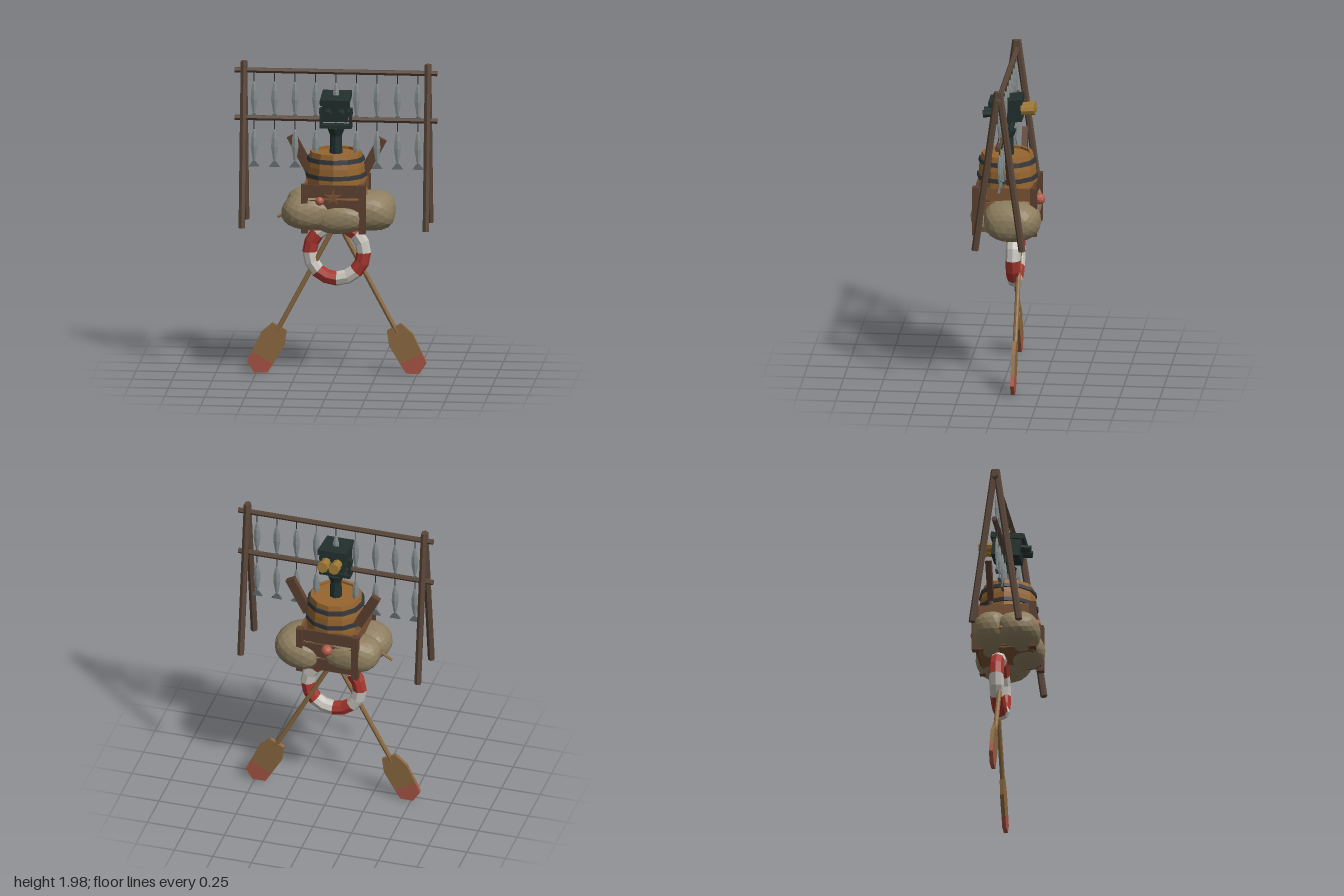
import * as THREE from 'three';

const mats = {};
function mat(color) {
  return (mats[color] ??= new THREE.MeshStandardMaterial({ color, flatShading: true, side: THREE.DoubleSide }));
}
const POST = 0x5a4638, CRATE = 0x5c4030, PLANK = 0x7a5233, BARREL = 0x96652f, HOOP = 0x34363a, SACK = 0x8f7f60;
const OAR = 0x8c6a42, TIP = 0xa85545, RED = 0xa8362e, WHITE = 0xc8c5be, IRON = 0x22302d, BRASS = 0xa07a35;
const FISH = 0x87908f, TAIL = 0x5c6466, FLOAT = 0xb35a4a;

function add(parent, name, geo, color, x = 0, y = 0, z = 0) {
  const m = new THREE.Mesh(geo, mat(color));
  m.name = name;
  m.position.set(x, y, z);
  parent.add(m);
  return m;
}
const box = (w, h, d) => new THREE.BoxGeometry(w, h, d);
const cyl = (a, b, h, n = 8) => new THREE.CylinderGeometry(a, b, h, n);
const lathe = (pts, n) => new THREE.LatheGeometry(pts.map(p => new THREE.Vector2(...p)), n);
function group(parent, name) {
  const g = new THREE.Group();
  g.name = name;
  parent.add(g);
  return g;
}
// round pole between two points
function pole(parent, name, a, b, r, color, n = 6) {
  const A = new THREE.Vector3(...a), B = new THREE.Vector3(...b);
  const m = add(parent, name, cyl(r, r, A.distanceTo(B), n), color);
  m.position.copy(A).add(B).multiplyScalar(0.5);
  m.quaternion.setFromUnitVectors(new THREE.Vector3(0, 1, 0), B.sub(A).normalize());
  return m;
}

// drying rack: two A-frames, two rails and rows of hanging fish
function buildRack(root) {
  const rack = group(root, 'dryingRack');
  for (const x of [-0.575, 0.575])
    for (const s of [-1, 1]) pole(rack, 'rackLeg', [x, 0.965, s * 0.147], [x, 1.995, s * 0.006], 0.022, POST);
  const bodyGeo = lathe([[0.003, 0], [0.013, 0.035], [0.024, 0.1], [0.021, 0.155], [0.01, 0.2], [0.002, 0.215]], 6);
  bodyGeo.scale(1, 1, 0.55);
  const tailGeo = cyl(0.012, 0.048, 0.035, 4);
  tailGeo.rotateY(Math.PI / 4).scale(1, 1, 0.25);
  for (const y of [1.94, 1.638]) {
    pole(rack, 'rackRail', [-0.632, y, 0], [0.632, y, 0], 0.017, POST);
    for (let i = -4; i <= 4; i++) {
      const fish = group(rack, 'hangingFish');
      fish.position.set(i * 0.128, y, 0);
      add(fish, 'fishString', cyl(0.003, 0.003, 0.08, 4), HOOP, 0, -0.04);
      add(fish, 'fishBody', bodyGeo, FISH, 0, -0.283);
      add(fish, 'fishTail', tailGeo, TAIL, 0, -0.292);
    }
  }
}

// oars crossing behind the barrel; side is the side of the blade
function buildOar(root, side, z) {
  const oar = group(root, side < 0 ? 'rightOar' : 'leftOar');
  oar.position.set(side * 0.36, 0.3, z);
  oar.rotation.z = side * 0.49;
  add(oar, 'oarShaft', cyl(0.015, 0.015, 1.32), OAR, 0, 0.63);
  add(oar, 'oarGrip', box(0.06, 0.25, 0.036), CRATE, 0, 1.25);
  const plate = (name, pts, color) => {
    const g = new THREE.ExtrudeGeometry(new THREE.Shape(pts.map(p => new THREE.Vector2(...p))),
      { depth: 0.024, bevelEnabled: false });
    add(oar, name, g, color, 0, 0, -0.012);
  };
  plate('oarBlade', [[-0.05, 0.01], [-0.083, -0.08], [-0.077, -0.215], [0.077, -0.215], [0.083, -0.08], [0.05, 0.01]], OAR);
  plate('oarTip', [[-0.077, -0.215], [-0.072, -0.285], [0, -0.325], [0.072, -0.285], [0.077, -0.215]], TIP);
}

// life ring in eight alternating sections
function buildRing(root) {
  const ring = group(root, 'lifeRing');
  ring.position.set(0, 0.785, -0.05);
  for (let i = 0; i < 8; i++) {
    const g = new THREE.TorusGeometry(0.169, 0.046, 8, 2, Math.PI / 4);
    add(ring, 'ringSection', g, i % 2 ? RED : WHITE).rotation.z = i * Math.PI / 4;
  }
}

// lumpy sacks: rounded-off ellipsoids with gentle dents
function buildSacks(root) {
  const sacks = [
    [-0.16, 1.07, 0.09, 0.18, 0.115, 0.14], [0.04, 1.035, 0.115, 0.17, 0.1, 0.115],
    [0.2, 1.055, -0.05, 0.173, 0.13, 0.185], [-0.12, 1.08, -0.08, 0.2, 0.125, 0.13],
  ];
  sacks.forEach(([x, y, z, rx, ry, rz], k) => {
    const g = new THREE.IcosahedronGeometry(1, 3), p = g.attributes.position;
    const v = new THREE.Vector3(), soft = a => Math.sign(a) * Math.abs(a) ** 0.85;
    for (let i = 0; i < p.count; i++) {
      v.fromBufferAttribute(p, i);
      const d = 0.97 + 0.045 * Math.sin(3 * v.x + 2 * v.y + k * 2) * Math.cos(3 * v.z - v.y + k);
      p.setXYZ(i, soft(v.x) * rx * d, soft(v.y) * ry * d, soft(v.z) * rz * d);
    }
    g.computeVertexNormals();
    add(root, 'sack', g, SACK, x, y, z);
  });
}

// crate with corner posts and slatted sides, holding the barrel
function buildCrate(root) {
  const crate = group(root, 'crate');
  for (const s of [-1, 1]) {
    for (const t of [-1, 1]) add(crate, 'cratePost', box(0.042, 0.31, 0.042), CRATE, s * 0.18, 1.105, t * 0.18);
    for (const [y, h] of [[1.215, 0.08], [1.115, 0.09], [1.015, 0.08]]) {
      add(crate, 'frontSlat', box(0.34, h, 0.018), CRATE, 0, y, s * 0.178);
      add(crate, 'sideSlat', box(0.018, h, 0.34), PLANK, s * 0.178, y, 0);
    }
  }
  add(crate, 'crateFloor', box(0.35, 0.02, 0.35), PLANK, 0, 0.975);
}

function buildBarrel(root) {
  const barrel = group(root, 'barrel');
  add(barrel, 'staves', lathe([[0, 0.99], [0.15, 0.99], [0.178, 1.12], [0.184, 1.25], [0.178, 1.35],
    [0.16, 1.44], [0.14, 1.44], [0.14, 1.425], [0, 1.425]], 12), BARREL);
  const hoop = (y, a, b) => add(barrel, 'hoop', lathe([[b - 0.02, -0.013], [b, -0.013], [a, 0.013], [a - 0.02, 0.013]], 12), HOOP, 0, y);
  hoop(1.395, 0.178, 0.183);
  hoop(1.295, 0.19, 0.192);
}

// swivelling viewer on a pedestal
function buildViewer(root) {
  const viewer = group(root, 'viewer');
  add(viewer, 'pedestal', cyl(0.036, 0.04, 0.12, 8), IRON, 0, 1.48);
  add(viewer, 'collar', cyl(0.056, 0.036, 0.05, 8), IRON, 0, 1.56);
  add(viewer, 'yokeBase', box(0.2, 0.022, 0.07), IRON, 0, 1.595);
  for (const s of [-1, 1]) {
    add(viewer, 'yokeArm', box(0.018, 0.12, 0.045), IRON, s * 0.092, 1.65);
    pole(viewer, 'pivot', [s * 0.08, 1.69, 0], [s * 0.106, 1.69, 0], 0.018, IRON, 8);
  }
  const head = group(viewer, 'viewerHead');
  head.position.set(0, 1.71, 0);
  head.rotation.x = 0.12;
  add(head, 'housing', box(0.155, 0.115, 0.18), IRON, 0, -0.005);
  add(head, 'hood', box(0.182, 0.035, 0.21), IRON, 0, 0.065);
  for (const s of [-1, 1]) {
    pole(head, 'frontLens', [s * 0.04, 0, 0.08], [s * 0.04, 0, 0.15], 0.024, IRON, 8);
    pole(head, 'eyepiece', [s * 0.037, 0, -0.08], [s * 0.037, 0, -0.15], 0.031, BRASS, 8);
    pole(head, 'eyecup', [s * 0.037, 0, -0.14], [s * 0.037, 0, -0.175], 0.036, BRASS, 8);
  }
}

// floats, starfish and small pegs on the crate
function buildTrim(root) {
  for (const [x, y, z, r] of [[-0.085, 1.155, 0.19, 0.028], [0, 1.14, -0.2, 0.036], [-0.21, 1.16, -0.11, 0.03]])
    add(root, 'float', new THREE.IcosahedronGeometry(r, 1), FLOAT, x, y, z);
  const star = new THREE.Shape();
  for (let i = 0; i < 10; i++) {
    const r = i % 2 ? 0.018 : 0.055, a = Math.PI / 2 + i * Math.PI / 5;
    star[i ? 'lineTo' : 'moveTo'](r * Math.cos(a), r * Math.sin(a));
  }
  add(root, 'starfish', new THREE.ExtrudeGeometry(star, { depth: 0.012, bevelEnabled: false }), PLANK, 0, 1.18, 0.185);
  pole(root, 'peg', [-0.365, 1.01, 0], [-0.28, 1.06, 0], 0.009, OAR);
  pole(root, 'hookArm', [0.18, 1.2, 0.12], [0.205, 1.2, 0.12], 0.009, OAR);
  pole(root, 'hookTip', [0.2, 1.19, 0.12], [0.2, 1.235, 0.12], 0.009, OAR);
}

export function createModel() {
  const root = new THREE.Group();
  root.name = 'harbourDisplay';
  buildRack(root);
  buildOar(root, -1, -0.032);
  buildOar(root, 1, -0.083);
  buildRing(root);
  buildSacks(root);
  buildCrate(root);
  buildBarrel(root);
  buildViewer(root);
  buildTrim(root);
  return root;
}
